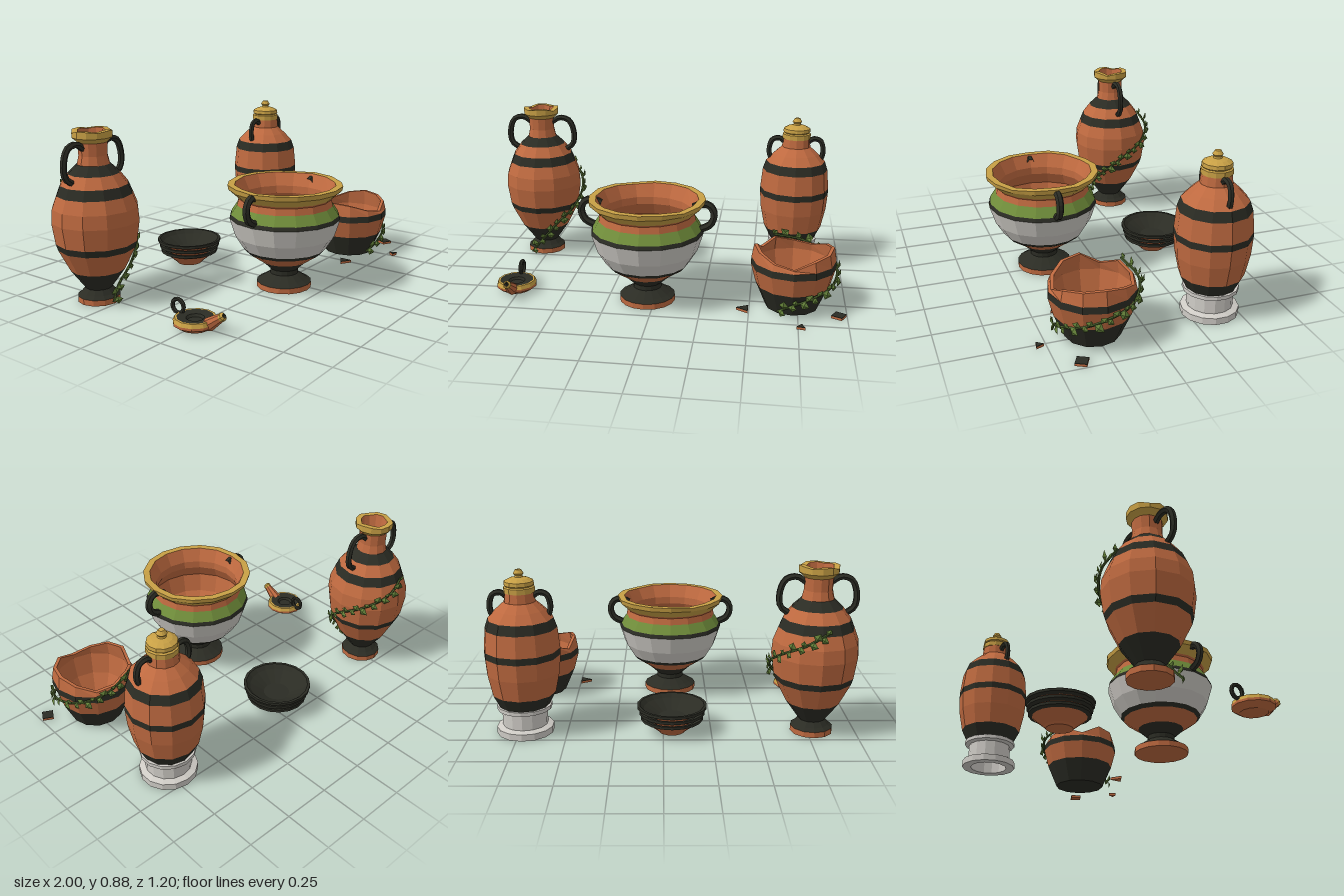
import * as THREE from 'three';
import { mergeGeometries } from 'three/addons/utils/BufferGeometryUtils.js';

const mat = (name, color, side = THREE.FrontSide) =>
  Object.assign(new THREE.MeshStandardMaterial({ color, flatShading: true, side }), { name });
const T = mat('terracotta', 0xbf6a40);
const B = mat('black glaze', 0x2b2c24);
const G = mat('ochre gold', 0xc8a045);
const W = mat('pale stone', 0xcfccc6);
const K = mat('green band', 0x6f8c3a);
const L = mat('leaf green', 0x627f38, THREE.DoubleSide);
const S = mat('vine stem', 0x44582a);

function add(parent, name, geometry, material) {
  const mesh = new THREE.Mesh(geometry, material);
  mesh.name = name;
  parent.add(mesh);
  return mesh;
}

function place(parent, name, x, z) {
  const group = new THREE.Group();
  group.name = name;
  group.position.set(x, 0, z);
  parent.add(group);
  return group;
}

// Turned part: points [r, y, material of the band ending here]; one mesh per band.
// jag lowers or raises every vertex above jagFrom, by side number.
function turned(parent, name, sides, points, jag = null, jagFrom = 0) {
  for (let i = 1; i < points.length;) {
    const material = points[i][2];
    const run = [points[i - 1]];
    while (i < points.length && points[i][2] === material) run.push(points[i++]);
    const geo = new THREE.LatheGeometry(run.map(([r, y]) => new THREE.Vector2(r, y)), sides);
    if (jag) {
      const p = geo.attributes.position;
      for (let v = 0; v < p.count; v++) {
        const k = Math.floor(v / run.length) % sides;
        if (p.getY(v) > jagFrom) p.setY(v, p.getY(v) + jag[k % jag.length]);
      }
    }
    add(parent, name + ' ' + material.name, geo, material);
  }
}

// Mirrored pair of tube handles, path given in the x-y plane
function handles(parent, path, radius) {
  for (const side of [1, -1]) {
    const curve = new THREE.CatmullRomCurve3(path.map(([x, y]) => new THREE.Vector3(side * x, y, 0)));
    add(parent, side > 0 ? 'leftHandle' : 'rightHandle', new THREE.TubeGeometry(curve, 14, radius, 6), B);
  }
}

// Folded diamond leaf, growing along +y, ridge towards +z
function leafGeometry(size) {
  const geo = new THREE.BufferGeometry();
  const a = [0, 0, 0], l = [-0.5, 0.45, 0], r = [0.5, 0.45, 0], m = [0, 0.45, 0.25], t = [0, 1.1, 0.05];
  geo.setAttribute('position', new THREE.Float32BufferAttribute(
    [a, m, l, a, r, m, m, t, l, m, r, t].flat().map((v) => v * size), 3));
  geo.computeVertexNormals();
  return geo;
}

// Vine spiralling up a pot; keys are [angle in degrees from +x to +z, radius, y]
function vine(parent, keys, count) {
  const curve = new THREE.CatmullRomCurve3(keys.map(([deg, r, y]) => {
    const a = THREE.MathUtils.degToRad(deg);
    return new THREE.Vector3(Math.cos(a) * r, y, Math.sin(a) * r);
  }));
  add(parent, 'vineStem', new THREE.TubeGeometry(curve, 40, 0.007, 5), S);
  const leaves = [];
  for (let i = 0; i < count; i++) {
    const t = (i + 0.3) / count;
    const p = curve.getPointAt(t);
    const out = new THREE.Vector3(p.x, 0, p.z).normalize();
    const along = curve.getTangentAt(t);
    along.addScaledVector(out, -along.dot(out)).normalize();
    const dir = along.applyAxisAngle(out, (i % 2 ? 1 : -1) * (0.75 + 0.25 * Math.sin(i * 2.3)));
    dir.addScaledVector(out, 0.25).normalize();
    const across = new THREE.Vector3().crossVectors(dir, out).normalize();
    const normal = new THREE.Vector3().crossVectors(across, dir);
    const m = new THREE.Matrix4().makeBasis(across, dir, normal).setPosition(p.addScaledVector(out, 0.004));
    leaves.push(leafGeometry(0.042 + 0.008 * Math.sin(i * 1.7)).applyMatrix4(m));
  }
  add(parent, 'vineLeaves', mergeGeometries(leaves), L);
}

export function createModel() {
  const model = new THREE.Group();
  model.name = 'potteryGroup';

  // Tall amphora with a chipped lip
  const tall = place(model, 'tallAmphora', -0.775, -0.37);
  turned(tall, 'tallBody', 12, [
    [0, 0], [0.11, 0, T], [0.11, 0.03, T], [0.09, 0.045, B], [0.068, 0.07, B], [0.14, 0.17, B],
    [0.197, 0.285, T], [0.208, 0.32, B], [0.224, 0.43, T], [0.218, 0.5, T], [0.193, 0.565, T],
    [0.172, 0.615, B], [0.13, 0.67, T], [0.083, 0.715, B], [0.073, 0.76, T], [0.075, 0.825, T],
    [0.085, 0.835, G], [0.102, 0.85, G], [0.102, 0.885, G], [0.072, 0.885, G],
    [0.06, 0.82, T], [0.06, 0.72, T], [0.15, 0.6, T], [0.18, 0.42, T], [0, 0.1, T],
  ], [0, 0, -0.012, 0, 0, -0.006], 0.88);
  handles(tall, [[0.06, 0.795], [0.11, 0.825], [0.165, 0.81], [0.193, 0.74], [0.185, 0.67], [0.14, 0.635]], 0.017);
  vine(tall, [[108, 0.16, 0.03], [85, 0.13, 0.1], [55, 0.17, 0.2], [25, 0.215, 0.3],
    [0, 0.23, 0.38], [-35, 0.235, 0.46], [-70, 0.225, 0.53], [-100, 0.2, 0.59]], 30);

  // Lidded amphora on a stone stand
  const lidded = place(model, 'liddedAmphora', 0.72, -0.37);
  turned(lidded, 'stand', 14, [
    [0.1, 0], [0.148, 0, W], [0.148, 0.035, W], [0.117, 0.045, W], [0.117, 0.125, W],
    [0.142, 0.132, W], [0.142, 0.152, W], [0.1, 0.152, W], [0.1, 0, W],
  ]);
  turned(lidded, 'liddedBody', 12, [
    [0, 0.15], [0.13, 0.15, B], [0.165, 0.22, B], [0.188, 0.33, T], [0.195, 0.42, T], [0.195, 0.455, B],
    [0.184, 0.565, T], [0.167, 0.615, B], [0.125, 0.66, T], [0.08, 0.7, T], [0.075, 0.75, T], [0, 0.75, T],
  ]);
  turned(lidded, 'lid', 12, [
    [0, 0.745], [0.079, 0.748, G], [0.079, 0.775, G], [0.07, 0.78, G], [0.076, 0.786, G], [0.074, 0.805, G],
    [0.05, 0.818, G], [0.022, 0.825, G], [0.019, 0.833, G], [0.027, 0.843, G], [0.015, 0.862, G], [0, 0.864, G],
  ]);
  handles(lidded, [[0.06, 0.72], [0.095, 0.745], [0.135, 0.735], [0.152, 0.69], [0.15, 0.65], [0.135, 0.615]], 0.016);

  // Wide mixing bowl with a foot
  const krater = place(model, 'mixingBowl', -0.042, 0.285);
  turned(krater, 'mixingBody', 16, [
    [0, 0], [0.147, 0, T], [0.147, 0.03, T], [0.12, 0.045, B], [0.075, 0.075, B], [0.075, 0.1, B],
    [0.125, 0.145, B], [0.205, 0.2, T], [0.222, 0.22, B], [0.265, 0.29, W], [0.295, 0.385, W],
    [0.288, 0.405, B], [0.255, 0.455, K], [0.247, 0.49, T], [0.255, 0.5, T], [0.3, 0.54, G],
    [0.305, 0.565, G], [0.268, 0.565, G], [0.232, 0.495, T], [0.23, 0.455, T], [0.262, 0.39, T],
    [0.235, 0.29, T], [0.18, 0.22, T], [0, 0.16, T],
  ], [0, 0, -0.006, 0, 0.002, -0.003, 0], 0.56);
  handles(krater, [[0.24, 0.525], [0.285, 0.543], [0.325, 0.535], [0.348, 0.49], [0.33, 0.435], [0.275, 0.405]], 0.02);

  // Three nested bowls
  const stack = place(model, 'bowlStack', -0.045, -0.375);
  [[0, 0.163], [0.031, 0.172], [0.062, 0.182]].forEach(([y, r], i) =>
    turned(stack, 'bowl' + (i + 1), 18, [
      [0, y], [0.07, y, T], [0.08, y + 0.012, T], [r - 0.022, y + 0.062, T], [r, y + 0.07, B], [r, y + 0.085, B],
      [r - 0.014, y + 0.085, B], [r - 0.035, y + 0.065, B], [0.07, y + 0.022, B], [0, y + 0.022, B],
    ]));

  // Oil lamp with raised nozzle and ring handle
  const lamp = place(model, 'oilLamp', -0.77, 0.265);
  turned(lamp, 'lampBody', 12, [
    [0, 0], [0.07, 0, T], [0.108, 0.025, T], [0.108, 0.038, T], [0.1, 0.058, G], [0.09, 0.058, G],
    [0.045, 0.052, B], [0.035, 0.04, B], [0, 0.04, B],
  ]);
  const nozzle = place(lamp, 'nozzle', 0, 0);
  nozzle.position.set(0, 0.035, 0.08);
  nozzle.rotation.x = 0.95;
  turned(nozzle, 'spout', 8, [[0, 0], [0.034, 0, T], [0.021, 0.09, T], [0.022, 0.105, G], [0.012, 0.115, G], [0, 0.1, B]]);
  const ring = add(lamp, 'lampHandle', new THREE.TorusGeometry(0.035, 0.011, 6, 12), B);
  ring.position.set(0, 0.085, -0.105);
  ring.rotation.y = Math.PI / 2;

  // Broken pot with a jagged edge
  const broken = place(model, 'brokenPot', 0.72, 0.255);
  turned(broken, 'brokenBody', 12, [
    [0, 0], [0.14, 0, B], [0.194, 0.125, B], [0.22, 0.222, T], [0.218, 0.258, B], [0.205, 0.3, T],
    [0.187, 0.3, T], [0.197, 0.24, T], [0.172, 0.125, T], [0.125, 0.03, T], [0, 0.02, T],
  ], [-0.03, 0.01, 0.022, 0.03, 0.012, -0.02, -0.01, 0.012, -0.022, 0.03, 0.02, -0.01], 0.29);
  vine(broken, [[115, 0.18, 0.03], [90, 0.19, 0.075], [60, 0.205, 0.12], [30, 0.22, 0.155],
    [0, 0.225, 0.195], [-35, 0.23, 0.23], [-75, 0.225, 0.28], [-120, 0.213, 0.32]], 30);

  // Loose shards: glazed top over a clay slab
  const shard = (x, z, radius, sides, turn) => {
    const g = place(model, 'shard', x, z);
    g.rotation.y = turn;
    add(g, 'shardClay', new THREE.CylinderGeometry(radius, radius, 0.012, sides), T).position.y = 0.006;
    add(g, 'shardGlaze', new THREE.CylinderGeometry(radius, radius, 0.003, sides), B).position.y = 0.0135;
  };
  shard(0.475, 0.365, 0.041, 3, 0.5);
  shard(0.765, 0.537, 0.025, 3, 0.9);
  shard(0.957, 0.385, 0.041, 4, 0.3);

  return model;
}
